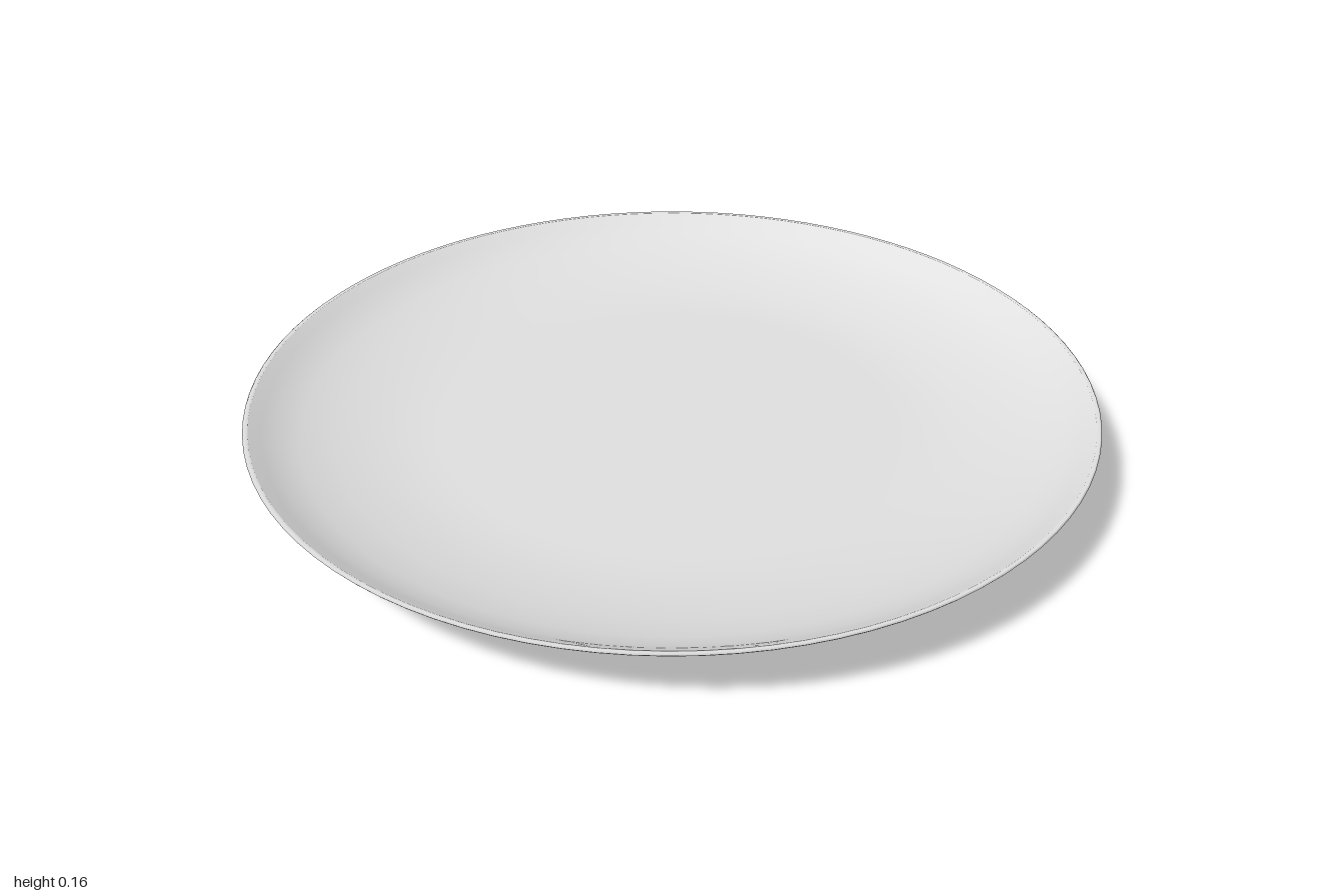
import * as THREE from 'three';

const SEGMENTS = 96;

export function createModel() {
  const plate = new THREE.Group();
  plate.name = 'plate';
  const ceramic = new THREE.MeshStandardMaterial({ color: 0xe0e0e0 });
  ceramic.name = 'pale ceramic';

  // Each profile runs counter-clockwise round the section, so faces point outward;
  // separate profiles keep a sharp edge between parts.
  const turn = (name, profile) => {
    const points = profile.map(([r, y]) => new THREE.Vector2(r, y));
    const mesh = new THREE.Mesh(new THREE.LatheGeometry(points, SEGMENTS), ceramic);
    mesh.name = name;
    plate.add(mesh);
  };

  // Underside: recessed base inside a low foot ring
  turn('recessedBase', [[0, 0.025], [0.64, 0.025]]);
  turn('footInnerWall', [[0.64, 0.025], [0.645, 0]]);
  turn('footBottom', [[0.645, 0], [0.665, 0]]);
  turn('footOuterWall', [[0.665, 0], [0.675, 0.012], [0.678, 0.038]]);

  // Flared outside of the dish
  turn('outerWall', [[0.678, 0.038], [0.77, 0.062], [0.86, 0.087], [0.945, 0.12], [0.997, 0.155]]);

  // Thin rounded rim
  turn('rim', [[0.997, 0.155], [1, 0.159], [0.996, 0.162], [0.988, 0.16]]);

  // Hollow: curved wall running smoothly into the flat floor
  turn('hollow', [
    [0.988, 0.16], [0.96, 0.143], [0.93, 0.124], [0.88, 0.103], [0.8, 0.081],
    [0.7, 0.064], [0.62, 0.057], [0.55, 0.055], [0, 0.055],
  ]);

  return plate;
}
